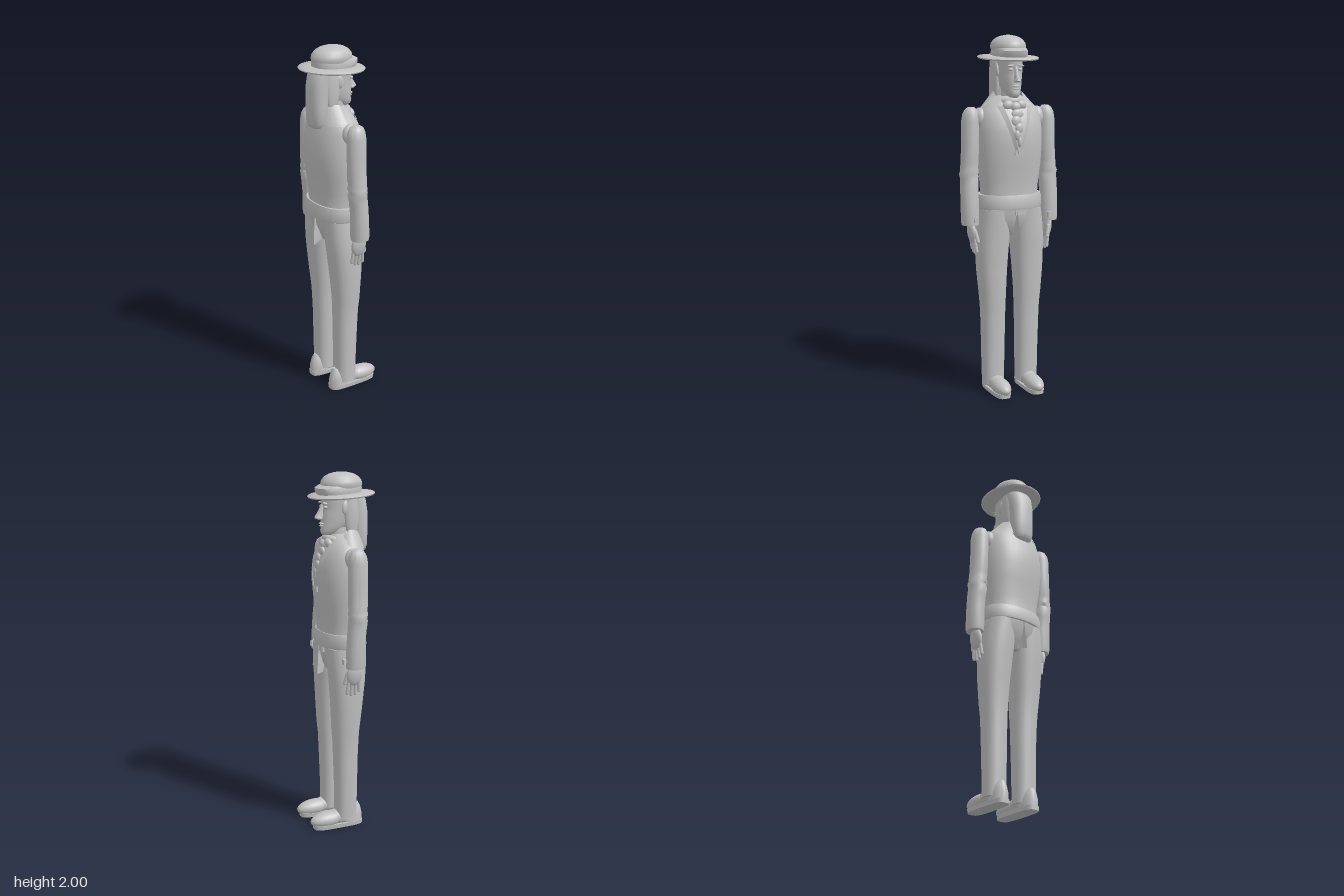
import * as THREE from 'three';
import { toCreasedNormals } from 'three/addons/utils/BufferGeometryUtils.js';

const grey = new THREE.MeshStandardMaterial({ color: 0xc0c0c0 });
grey.name = 'plain grey';
grey.side = THREE.DoubleSide;

const signedPow = (v, p) => Math.sign(v) * Math.pow(Math.abs(v), p);

// Closed skin over horizontal rings [y, xBack, xFront, zMin, zMax], bottom to top
function loft(rings, n = 28, power = 1) {
  const pos = [], idx = [];
  for (const [y, x0, x1, z0, z1] of rings) {
    for (let j = 0; j < n; j++) {
      const a = (j / n) * Math.PI * 2;
      pos.push((x0 + x1) / 2 + (x1 - x0) / 2 * signedPow(Math.cos(a), power), y,
        (z0 + z1) / 2 + (z1 - z0) / 2 * signedPow(Math.sin(a), power));
    }
  }
  for (let i = 0; i < rings.length - 1; i++) {
    for (let j = 0; j < n; j++) {
      const a = i * n + j, b = i * n + (j + 1) % n;
      idx.push(a, a + n, b, b, a + n, b + n);
    }
  }
  // end caps
  const last = (rings.length - 1) * n, c = rings.length * n;
  for (const r of [rings[0], rings[rings.length - 1]]) pos.push((r[1] + r[2]) / 2, r[0], (r[3] + r[4]) / 2);
  for (let j = 0; j < n; j++) {
    const k = (j + 1) % n;
    idx.push(c, j, k, c + 1, last + k, last + j);
  }
  const g = new THREE.BufferGeometry();
  g.setAttribute('position', new THREE.Float32BufferAttribute(pos, 3));
  g.setIndex(idx);
  return toCreasedNormals(g, 0.75);
}

// Open ribbon between two equally long lists of points
function ribbon(p, q) {
  const pos = [], idx = [];
  p.forEach((v, i) => {
    pos.push(...v, ...q[i]);
    if (i) idx.push(2 * i - 2, 2 * i - 1, 2 * i, 2 * i, 2 * i - 1, 2 * i + 1);
  });
  const g = new THREE.BufferGeometry();
  g.setAttribute('position', new THREE.Float32BufferAttribute(pos, 3));
  g.setIndex(idx);
  g.computeVertexNormals();
  return g;
}

export function createModel() {
  const model = new THREE.Group();
  model.name = 'standingFigure';
  const add = (name, geo, p = [0, 0, 0], r = [0, 0, 0]) => {
    const m = new THREE.Mesh(geo, grey);
    m.name = name;
    m.position.set(...p);
    m.rotation.set(...r);
    model.add(m);
    return m;
  };
  const blob = (name, p, s, r) => add(name, new THREE.SphereGeometry(1, 24, 16), p, r).scale.set(...s);
  // symmetric ring from half width
  const sym = list => list.map(([y, a, b, w]) => [y, a, b, -w, w]);

  // Waistcoat body
  const body = sym([
    [1.05, -0.14, 0.105, 0.165], [1.13, -0.13, 0.1, 0.163], [1.2, -0.132, 0.103, 0.168],
    [1.3, -0.148, 0.116, 0.182], [1.4, -0.16, 0.126, 0.188], [1.48, -0.157, 0.125, 0.186],
    [1.55, -0.142, 0.11, 0.18], [1.6, -0.125, 0.085, 0.165], [1.64, -0.11, 0.06, 0.12],
    [1.67, -0.09, 0.04, 0.07]]);
  add('torso', loft(body, 40, 0.9));
  add('belt', loft(sym([[1.05, -0.147, 0.112, 0.183], [1.06, -0.15, 0.115, 0.187],
    [1.11, -0.143, 0.11, 0.187], [1.13, -0.138, 0.104, 0.182]]), 40, 0.9));
  add('hips', loft(sym([[0.9, -0.075, 0.055, 0.06], [0.94, -0.1, 0.08, 0.13],
    [1.0, -0.128, 0.1, 0.178], [1.06, -0.137, 0.105, 0.175]]), 36, 0.9));
  add('beltBuckle', new THREE.BoxGeometry(0.02, 0.03, 0.06), [0.1, 1.035, -0.02]);

  // Hanging flaps between the legs
  add('frontFlap', ribbon([[0.05, 1.05, 0], [0.08, 0.89, 0.012]], [[0.112, 1.05, 0], [0.125, 0.885, -0.012]]));
  add('backFlap', ribbon([[-0.14, 1.05, 0], [-0.152, 0.885, 0.01]], [[-0.08, 1.05, 0], [-0.09, 0.9, -0.01]]));

  // Front surface of the body, used to lay the lapels on it
  const frontX = (y, z) => {
    let i = 0;
    while (i < body.length - 2 && body[i + 1][0] < y) i++;
    const t = (y - body[i][0]) / (body[i + 1][0] - body[i][0]);
    const [x0, x1, w] = [1, 2, 4].map(k => body[i][k] + (body[i + 1][k] - body[i][k]) * t);
    const s = Math.pow(Math.min(1, Math.abs(z) / w), 1 / 0.9);
    return (x0 + x1) / 2 + (x1 - x0) / 2 * Math.pow(Math.max(0, 1 - s * s), 0.45);
  };

  for (const s of [1, -1]) {
    const side = s > 0 ? 'left' : 'right';
    const ring = ([y, a, b, zi, zo]) => s > 0 ? [y, a, b, zi, zo] : [y, a, b, -zo, -zi];

    // Lapel
    const lapel = (w, lift) => [1.36, 1.42, 1.48, 1.54, 1.59, 1.62].map(y => {
      const z = (y - 1.36) * 0.27 + w * (0.4 + (y - 1.36) * 2.3);
      return [frontX(y, z) + lift, y, s * z];
    });
    add(side + 'Lapel', ribbon(lapel(0, 0.013), lapel(0.03, 0.004)));

    // Trouser leg
    add(side + 'Leg', loft([
      [0.045, -0.066, 0.055, 0.04, 0.163], [0.2, -0.07, 0.055, 0.038, 0.166],
      [0.4, -0.072, 0.062, 0.035, 0.17], [0.5, -0.076, 0.066, 0.033, 0.174],
      [0.56, -0.078, 0.072, 0.031, 0.18], [0.7, -0.093, 0.078, 0.024, 0.192],
      [0.85, -0.11, 0.086, 0.012, 0.197], [0.95, -0.12, 0.094, 0.003, 0.192],
      [1.05, -0.125, 0.098, 0.002, 0.178]].map(ring), 28, 0.85));

    // Shoe: sole, toe and heel
    add(side + 'Sole', loft([[0, -0.105, 0.188, 0.056, 0.146], [0.024, -0.105, 0.19, 0.053, 0.149]].map(ring), 32, 0.55));
    blob(side + 'ShoeToe', [0.105, 0.048, s * 0.1], [0.103, 0.044, 0.05], [0, 0, -0.06]);
    blob(side + 'ShoeInstep', [0.02, 0.055, s * 0.1], [0.1, 0.045, 0.047]);
    add(side + 'ShoeHeel', loft([[0.02, -0.105, 0.02, 0.054, 0.148], [0.06, -0.106, 0.02, 0.056, 0.146],
      [0.1, -0.097, 0.01, 0.065, 0.138], [0.125, -0.085, 0, 0.08, 0.122]].map(ring)));

    // Sleeve with a rounded shoulder and folds at the elbow
    add(side + 'Sleeve', loft([
      [0.965, -0.052, 0.05, 0.19, 0.284], [0.985, -0.056, 0.052, 0.188, 0.287],
      [1.1, -0.056, 0.046, 0.187, 0.288], [1.18, -0.064, 0.04, 0.186, 0.288],
      [1.225, -0.072, 0.036, 0.182, 0.286], [1.245, -0.066, 0.034, 0.187, 0.292],
      [1.265, -0.074, 0.038, 0.182, 0.284], [1.285, -0.068, 0.033, 0.186, 0.284],
      [1.31, -0.074, 0.036, 0.182, 0.28], [1.42, -0.075, 0.034, 0.18, 0.276],
      [1.54, -0.075, 0.034, 0.178, 0.274], [1.575, -0.07, 0.03, 0.18, 0.268],
      [1.6, -0.056, 0.02, 0.188, 0.256], [1.613, -0.035, 0, 0.205, 0.238]].map(ring)));
    blob(side + 'ShoulderJoint', [-0.02, 1.55, s * 0.17], [0.05, 0.06, 0.035]);
    add(side + 'CuffTab', new THREE.BoxGeometry(0.02, 0.03, 0.025), [0.054, 1.0, s * 0.222]);

    // Hand
    blob(side + 'Palm', [-0.002, 0.925, s * 0.228], [0.046, 0.065, 0.022], [s * 0.12, 0, 0]);
    for (let i = 0; i < 4; i++) {
      const len = [0.06, 0.075, 0.08, 0.07][i];
      add(side + 'Finger', new THREE.CapsuleGeometry(0.0095, len, 4, 10),
        [-0.034 + i * 0.022, 0.888 - len / 2, s * 0.217], [s * 0.14, 0, (i - 1.5) * 0.05]);
    }
    add(side + 'Thumb', new THREE.CapsuleGeometry(0.0105, 0.06, 4, 10), [0.042, 0.905, s * 0.215], [s * 0.2, 0, 0.2]);

    // Face details
    blob(side + 'Ear', [-0.02, 1.815, s * 0.066], [0.022, 0.038, 0.012], [0, s * -0.3, 0.15]);
    blob(side + 'Eye', [0.08, 1.817, s * 0.028], [0.012, 0.008, 0.014]);
    blob(side + 'Brow', [0.084, 1.838, s * 0.028], [0.012, 0.006, 0.022], [s * 0.1, 0, 0]);
    blob(side + 'Nostril', [0.105, 1.757, s * 0.01], [0.013, 0.009, 0.009]);
    blob(side + 'SideHair', [-0.06, 1.78, s * 0.062], [0.042, 0.13, 0.02]);
  }

  // Upright collar, open at the front
  const low = [], high = [];
  for (let i = 0; i <= 24; i++) {
    const a = THREE.MathUtils.degToRad(42 + 276 * i / 24), c = Math.cos(a), z = Math.sin(a);
    low.push([-0.02 + 0.118 * c, 1.595 - 0.03 * Math.max(0, c), 0.17 * z]);
    high.push([-0.03 + 0.085 * c, 1.695 - 0.1 * Math.max(0, c), 0.082 * z]);
  }
  add('collar', ribbon(low, high));

  // Scarf with knot and hanging ruffle
  add('scarf', new THREE.TorusGeometry(0.058, 0.02, 12, 28), [0.008, 1.635, 0], [Math.PI / 2, 0.2, 0]);
  blob('scarfKnot', [0.075, 1.615, 0], [0.028, 0.028, 0.03]);
  for (const s of [1, -1]) blob('scarfBow', [0.068, 1.625, s * 0.038], [0.022, 0.026, 0.032], [s * 0.4, 0, 0]);
  for (let i = 0; i < 5; i++) {
    const y = 1.575 - i * 0.037, z = (i % 2 ? 1 : -1) * 0.006;
    blob('ruffle', [frontX(y, 0) - 0.004, y, z], [0.016, 0.03, 0.036 - i * 0.006]);
  }
  add('necktieEnd', new THREE.BoxGeometry(0.008, 0.03, 0.045), [0.128, 1.37, 0]);

  // Neck and head
  add('neck', loft(sym([[1.58, -0.06, 0.045, 0.055], [1.66, -0.05, 0.04, 0.045], [1.75, -0.05, 0.04, 0.045]])));
  add('head', loft(sym([
    [1.663, 0.035, 0.08, 0.018], [1.672, 0.01, 0.093, 0.03], [1.69, -0.03, 0.098, 0.041],
    [1.71, -0.065, 0.092, 0.05], [1.74, -0.09, 0.095, 0.057], [1.78, -0.105, 0.09, 0.063],
    [1.815, -0.115, 0.085, 0.066], [1.84, -0.12, 0.093, 0.068], [1.9, -0.12, 0.088, 0.07]]), 32));
  add('nose', loft(sym([[1.748, 0.07, 0.112, 0.012], [1.758, 0.07, 0.134, 0.016],
    [1.77, 0.07, 0.129, 0.013], [1.8, 0.07, 0.109, 0.009], [1.832, 0.07, 0.095, 0.009]]), 16));
  blob('upperLip', [0.092, 1.727, 0], [0.013, 0.006, 0.022]);
  blob('lowerLip', [0.09, 1.714, 0], [0.013, 0.006, 0.018]);

  // Long hair down the back
  add('hair', loft(sym([
    [1.562, -0.145, -0.105, 0.03], [1.572, -0.16, -0.09, 0.053], [1.6, -0.168, -0.08, 0.066],
    [1.68, -0.172, -0.068, 0.07], [1.78, -0.172, -0.05, 0.073], [1.85, -0.16, -0.03, 0.075],
    [1.885, -0.14, 0, 0.075]]), 28, 0.85));

  // Hat: tilted brim, band and dome
  const brim = sym([[-0.005, -0.183, 0.183, 0.163], [0.002, -0.187, 0.187, 0.167], [0.006, -0.183, 0.183, 0.163],
    [0.012, -0.125, 0.125, 0.11]]);
  add('hatBrim', loft(brim, 40), [-0.025, 1.877, 0], [0, 0, -0.05]);
  add('hatBand', loft(sym([[1.875, -0.132, 0.105, 0.088], [1.895, -0.137, 0.12, 0.092],
    [1.918, -0.138, 0.124, 0.09], [1.932, -0.135, 0.1, 0.086]]), 36, 0.85));
  add('hatDome', loft(sym([
    [1.915, -0.138, 0.088, 0.088], [1.935, -0.143, 0.092, 0.095], [1.955, -0.138, 0.088, 0.093],
    [1.975, -0.12, 0.072, 0.079], [1.988, -0.096, 0.048, 0.06], [1.996, -0.067, 0.02, 0.036],
    [2.0, -0.04, -0.008, 0.012]]), 36));
  return model;
}
